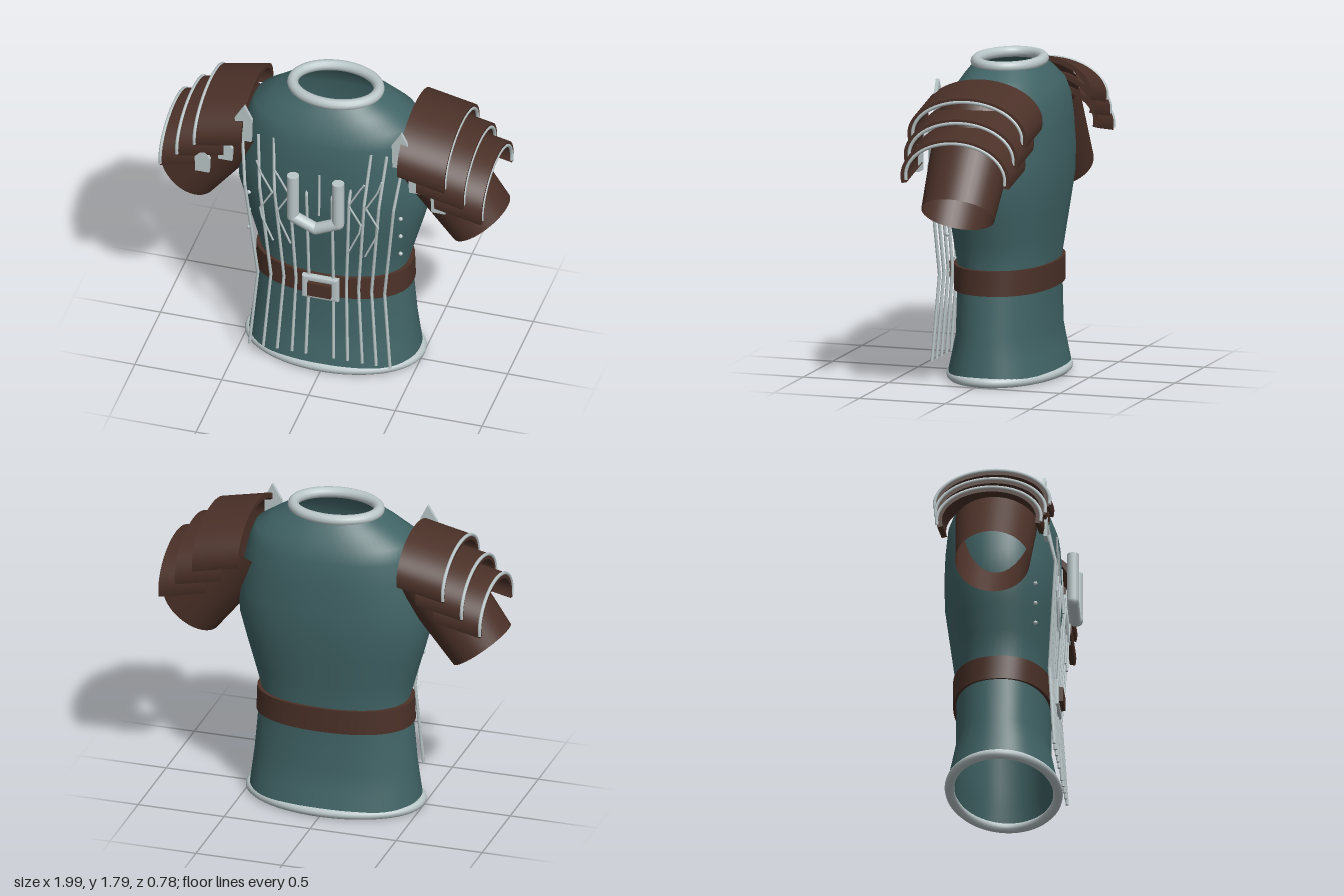
import * as THREE from 'three';
import { mergeGeometries, toCreasedNormals } from 'three/addons/utils/BufferGeometryUtils.js';

const mat = (name, color, side = THREE.DoubleSide) => {
  const m = new THREE.MeshStandardMaterial({ color, side });
  m.name = name;
  return m;
};
const ZC = -0.035; // body centre in depth

// Horizontal rings [y, rx, rz] joined into an open, slightly squared elliptical tube
function loft(rings, n = 64, power = 2.25) {
  const pos = [], idx = [];
  const bend = (v) => Math.sign(v) * Math.abs(v) ** (2 / power);
  for (const [y, rx, rz] of rings) {
    for (let i = 0; i < n; i++) {
      const a = (i / n) * Math.PI * 2;
      pos.push(rx * bend(Math.cos(a)), y, ZC + rz * bend(Math.sin(a)));
    }
  }
  for (let r = 0; r < rings.length - 1; r++) {
    for (let i = 0; i < n; i++) {
      const a = r * n + i, b = r * n + ((i + 1) % n);
      idx.push(a, a + n, b, b, a + n, b + n);
    }
  }
  const g = new THREE.BufferGeometry();
  g.setAttribute('position', new THREE.Float32BufferAttribute(pos, 3));
  g.setIndex(idx);
  g.computeVertexNormals();
  return g;
}

// Closed round piping following an ellipse
function ellipseTube(y, rx, rz, r) {
  const pts = [];
  for (let i = 0; i < 32; i++) {
    const a = (i / 32) * Math.PI * 2;
    pts.push(new THREE.Vector3(rx * Math.cos(a), y, ZC + rz * Math.sin(a)));
  }
  return new THREE.TubeGeometry(new THREE.CatmullRomCurve3(pts, true), 80, r, 12, true);
}

// Straight round rods through points, with ball joints at the bends
function rods(points, r, sides = 8) {
  const parts = [], up = new THREE.Vector3(0, 1, 0);
  const p = points.map((q) => new THREE.Vector3(...q));
  for (let i = 0; i < p.length - 1; i++) {
    const d = p[i + 1].clone().sub(p[i]);
    const g = new THREE.CylinderGeometry(r, r, d.length(), sides);
    g.applyQuaternion(new THREE.Quaternion().setFromUnitVectors(up, d.normalize()));
    const mid = p[i].clone().add(p[i + 1]).multiplyScalar(0.5);
    parts.push(g.translate(mid.x, mid.y, mid.z));
    if (i > 0) parts.push(new THREE.SphereGeometry(r, sides, 6).translate(p[i].x, p[i].y, p[i].z));
  }
  return mergeGeometries(parts);
}

// Arched shoulder plate from |x| = inner to outer, rising toward the neck
function archPlate(s, inner, outer, cy, a, b, thick) {
  const shape = new THREE.Shape(), e = 0.2;
  shape.absellipse(0, 0, a, b, -e, Math.PI + e, false);
  const hole = new THREE.EllipseCurve(0, 0, a - thick, b - thick, Math.PI + e, -e, true);
  hole.getPoints(32).forEach((q) => shape.lineTo(q.x, q.y));
  let g = new THREE.ExtrudeGeometry(shape, { depth: outer - inner, bevelEnabled: false, curveSegments: 32 });
  g.rotateY(Math.PI / 2).translate(s > 0 ? inner : -outer, cy, ZC);
  const p = g.attributes.position;
  for (let i = 0; i < p.count; i++) p.setY(i, p.getY(i) + 0.22 * (outer - Math.abs(p.getX(i))));
  g.computeVertexNormals();
  return toCreasedNormals(g, 0.6);
}

export function createModel() {
  const root = new THREE.Group();
  root.name = 'armouredTunic';
  const teal = mat('tealCloth', 0x416466);
  const brown = mat('brownLeather', 0x4b3128);
  const silver = mat('paleMetal', 0xbac6c8);
  const add = (name, geo, m) => {
    const mesh = new THREE.Mesh(geo, m);
    mesh.name = name;
    root.add(mesh);
    return mesh;
  };

  // Torso with piping at hem and collar
  add('torso', loft([
    [0.03, 0.49, 0.31], [0.15, 0.475, 0.283], [0.26, 0.462, 0.26], [0.5, 0.44, 0.258], [0.65, 0.42, 0.26],
    [0.8, 0.462, 0.28], [0.95, 0.505, 0.3], [1.1, 0.545, 0.32], [1.25, 0.55, 0.324], [1.42, 0.52, 0.318],
    [1.55, 0.49, 0.305], [1.63, 0.46, 0.275], [1.7, 0.355, 0.23], [1.74, 0.28, 0.2], [1.77, 0.24, 0.175],
  ]), teal);
  add('hemPiping', ellipseTube(0.03, 0.488, 0.298, 0.027), silver);
  add('collarPiping', ellipseTube(1.765, 0.243, 0.178, 0.031), silver);

  // Belt and buckle
  const belt = loft([[0.51, 0.43, 0.25], [0.51, 0.45, 0.277], [0.65, 0.445, 0.277], [0.65, 0.42, 0.25]]);
  add('belt', toCreasedNormals(belt, 0.6), brown);
  const frame = new THREE.Shape([[-0.09, -0.06], [0.09, -0.06], [0.09, 0.06], [-0.09, 0.06]].map((q) => new THREE.Vector2(...q)));
  frame.holes.push(new THREE.Path([[-0.078, -0.052], [-0.078, 0.052], [0.078, 0.052], [0.078, -0.052]].map((q) => new THREE.Vector2(...q))));
  const frameGeo = new THREE.ExtrudeGeometry(frame, { depth: 0.02, bevelEnabled: true, bevelSize: 0.015, bevelThickness: 0.008, bevelSegments: 3 });
  add('buckleFrame', frameGeo.translate(0, 0.578, 0.25), silver);
  add('buckleCentre', new THREE.BoxGeometry(0.135, 0.085, 0.07).translate(0, 0.578, 0.265), brown);

  // Chest emblem frame and its inner bar
  add('chestFrame', rods([[-0.13, 1.395, 0.36], [-0.13, 1.115, 0.36], [0, 1.055, 0.36], [0.13, 1.115, 0.36], [0.13, 1.395, 0.36]], 0.034, 16), silver);
  add('chestBar', rods([[0, 1.37, 0.285], [0, 1.1, 0.295]], 0.007), silver);

  // Hanging cords: x at top, waist and bottom, then the top height
  const cords = [
    [0.46, 0.365, 0.405, 1.48], [0.37, 0.29, 0.325, 1.53], [0.28, 0.215, 0.245, 1.53],
    [0.185, 0.145, 0.16, 1.45], [0.075, 0.07, 0.08, 1.38],
  ];
  const pentagon = (w, h) => new THREE.Shape([
    [-w, -h], [w, -h], [w * 1.1, h * 0.25], [0.1 * w, h], [-w * 1.1, h * 0.25],
  ].map((q) => new THREE.Vector2(...q)));
  const tabs = [[0.452, 1.6, 0.045, 0.12, 0.22], [0.55, 1.41, 0.04, 0.065, 0.245], [0.68, 1.315, 0.04, 0.075, 0.25]];
  // Shoulder plates: outer x, arch base height, half width
  const plates = [[0.725, 1.455, 0.325], [0.83, 1.355, 0.31], [0.93, 1.258, 0.295]];

  for (const s of [1, -1]) {
    const side = s > 0 ? 'left' : 'right';

    for (const [x0, x1, x2, top] of cords) {
      add(side + 'Cord', rods([[s * x0, top, 0.225], [s * (x0 * 0.67 + x1 * 0.33), 1.22, 0.29],
        [s * x1, 0.6, 0.25], [s * x2, 0.12, 0.28]], 0.009), silver);
    }

    // Zigzag stitched chains
    for (const [dx, top] of [[0, 1.4], [0.1, 1.36]]) {
      add(side + 'Chain', rods([[0.36, top], [0.335, 1.32], [0.27, 1.2], [0.34, 1.08], [0.33, 1.02], [0.265, 0.87]]
        .map(([x, y]) => [s * (x - dx), y, 0.292]), 0.006, 6), silver);
    }

    // Side studs
    for (const y of [0.845, 0.965, 1.085]) {
      add(side + 'Stud', new THREE.SphereGeometry(0.012, 12, 8).translate(s * 0.437, y, 0.18), silver);
    }

    // Short open sleeve
    const sleeve = new THREE.CylinderGeometry(0.215, 0.19, 0.58, 40, 1, true);
    sleeve.scale(1, 1, 1.09).translate(0, -0.29, 0).rotateZ(s * 0.635);
    add(side + 'Sleeve', sleeve.translate(s * 0.5, 1.507, -0.022), brown);

    // Overlapping shoulder plates with metal rims
    for (const [outer, cy, a] of plates) {
      const grow = s > 0 ? 0.024 : -0.004;
      add(side + 'ShoulderPlate', archPlate(s, outer - 0.27, outer, cy, a + grow, 0.2 + grow * 0.7, 0.03), brown);
      const pts = [];
      for (let i = 0; i <= 16; i++) {
        const t = -0.12 + (i / 16) * (Math.PI + 0.24);
        pts.push(new THREE.Vector3(s * (outer - 0.003), cy + 0.195 * Math.sin(t), ZC + (a - 0.005) * Math.cos(t)));
      }
      add(side + 'PlateRim', new THREE.TubeGeometry(new THREE.CatmullRomCurve3(pts), 48, 0.01, 8), silver);
    }

    // Pointed metal tabs at the inner plate ends
    for (const [x, y, w, h, z] of tabs) {
      const g = new THREE.ExtrudeGeometry(pentagon(w, h), { depth: 0.02, bevelEnabled: false });
      add(side + 'PlateTab', g.translate(s * x, y, z), silver);
    }
  }
  return root;
}
